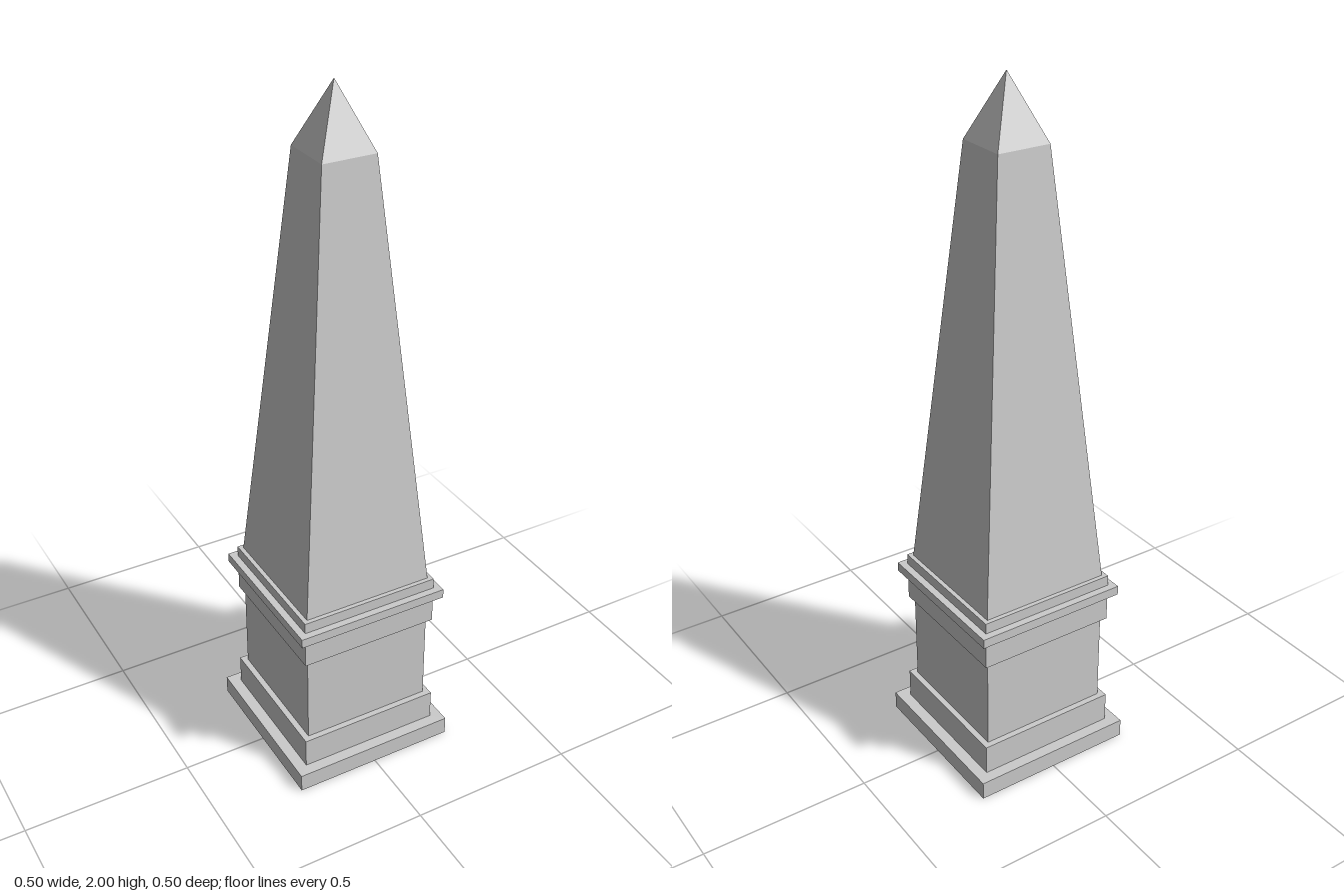
import * as THREE from 'three';

const material = new THREE.MeshStandardMaterial({ color: 0xcccccc, flatShading: true });

// Square tier between two heights, with its own half width at bottom and top
function tier(name, y0, y1, bottom, top = bottom) {
  const k = Math.SQRT2; // half width to corner radius
  const geometry = new THREE.CylinderGeometry(top * k, bottom * k, y1 - y0, 4);
  geometry.rotateY(Math.PI / 4);
  const mesh = new THREE.Mesh(geometry, material);
  mesh.name = name;
  mesh.position.y = (y0 + y1) / 2;
  return mesh;
}

export function createModel() {
  const group = new THREE.Group();
  group.name = 'obelisk';
  group.add(
    // Pedestal
    tier('baseSlab', 0, 0.055, 0.248),
    tier('plinth', 0.055, 0.146, 0.214),
    tier('pedestalBlock', 0.146, 0.424, 0.196),
    tier('pedestalCap', 0.424, 0.512, 0.209),
    tier('cornice', 0.512, 0.54, 0.23),
    tier('shaftFooting', 0.54, 0.572, 0.209),
    // Tapered shaft and pointed tip
    tier('shaft', 0.572, 1.823, 0.196, 0.078),
    tier('pyramidTip', 1.823, 2, 0.078, 0),
  );
  return group;
}
